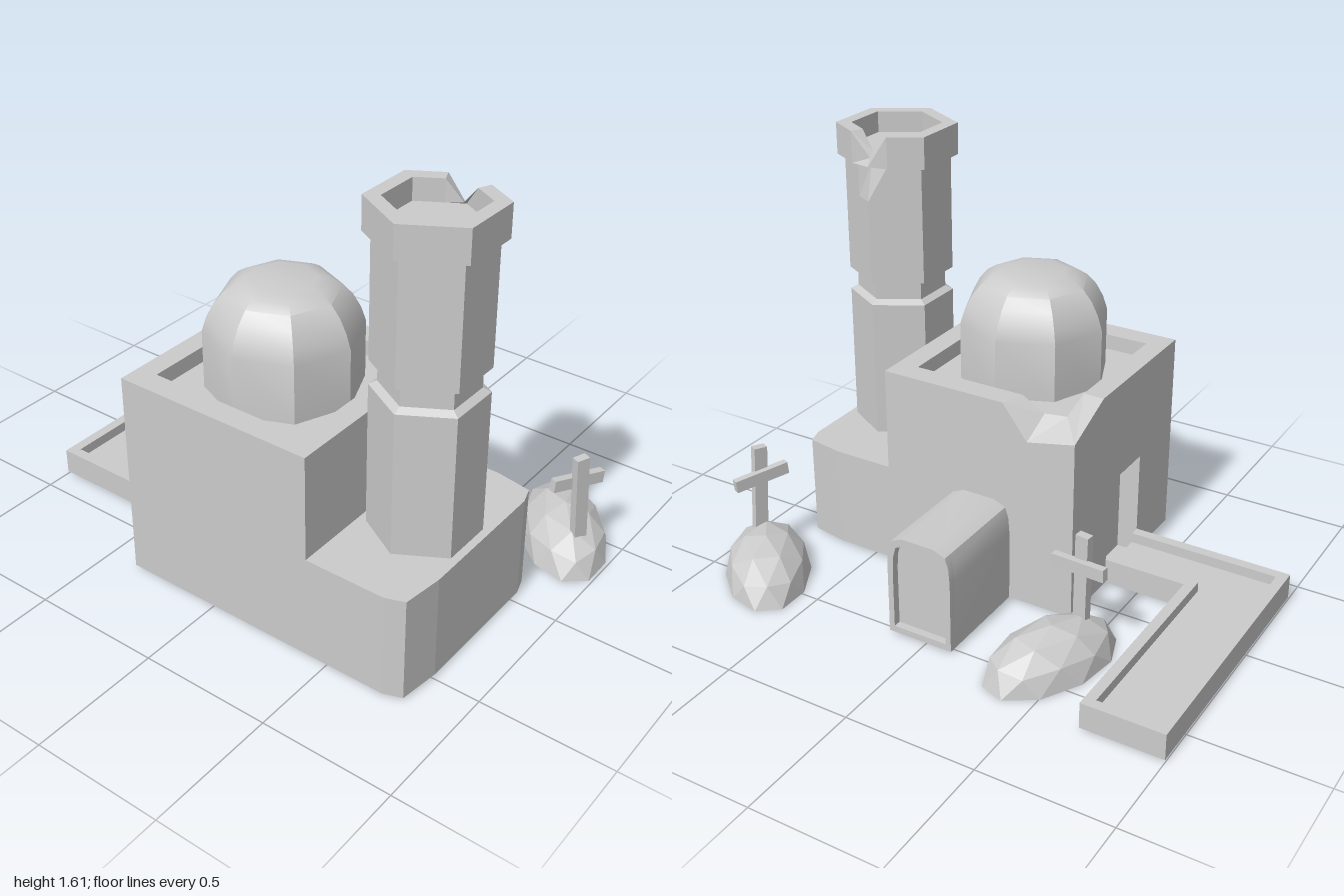
import * as THREE from 'three';
import { toCreasedNormals } from 'three/addons/utils/BufferGeometryUtils.js';

const stone = new THREE.MeshStandardMaterial({ color: 0xcccccc, flatShading: true });
const smoothStone = new THREE.MeshStandardMaterial({ color: 0xcccccc });
const thinStone = new THREE.MeshStandardMaterial({ color: 0xcccccc, flatShading: true, side: THREE.DoubleSide });

function part(name, geometry, material = stone) {
  const mesh = new THREE.Mesh(geometry, material);
  mesh.name = name;
  return mesh;
}

// Joins matching rings of [x, y, z] points; skip lists the wall segments of the first band to leave open
function loft(rings, { capStart = false, capEnd = false, skip = [] } = {}) {
  const out = [];
  const tri = (...pts) => pts.forEach((p) => out.push(...p));
  const n = rings[0].length;
  for (let r = 0; r + 1 < rings.length; r++) {
    for (let i = 0; i < n; i++) {
      if (r === 0 && skip.includes(i)) continue;
      const j = (i + 1) % n, a = rings[r], b = rings[r + 1];
      tri(a[i], a[j], b[j]);
      tri(a[i], b[j], b[i]);
    }
  }
  const cap = (ring, flip) => {
    const c = [0, 1, 2].map((k) => ring.reduce((s, p) => s + p[k], 0) / n);
    ring.forEach((p, i) => {
      const q = ring[(i + 1) % n];
      flip ? tri(c, q, p) : tri(c, p, q);
    });
  };
  if (capStart) cap(rings[0], true);
  if (capEnd) cap(rings[rings.length - 1], false);
  const g = new THREE.BufferGeometry();
  g.setAttribute('position', new THREE.Float32BufferAttribute(out, 3));
  g.computeVertexNormals();
  return g;
}

const toShape = (pts) => new THREE.Shape(pts.map(([x, y]) => new THREE.Vector2(x, y)));

// Raises a plan outline of [x, z] points from y0 to y1
function raise(plan, y0, y1) {
  const shape = toShape(plan.map(([x, z]) => [x, -z]));
  return new THREE.ExtrudeGeometry(shape, { depth: y1 - y0, bevelEnabled: false })
    .rotateX(-Math.PI / 2).translate(0, y0, 0);
}

// Main hall with a sunken roof, a broken back corner and a doorway
function createHall() {
  const g = new THREE.Group();
  g.name = 'hall';
  const outer = [[-0.37, -0.13], [-0.37, 0.08], [-0.37, 0.67], [0.42, 0.67], [0.42, -0.13], [-0.08, -0.13], [-0.18, -0.13]];
  const inner = [[-0.29, -0.04], [-0.29, 0.08], [-0.29, 0.58], [0.335, 0.58], [0.335, -0.04], [-0.11, -0.04], [-0.2, -0.04]];
  const outerY = [0.72, 0.81, 0.81, 0.81, 0.81, 0.81, 0.68];
  const innerY = [0.77, 0.81, 0.81, 0.81, 0.81, 0.81, 0.76];
  const at = (plan, y) => plan.map(([x, z], i) => [x, Array.isArray(y) ? y[i] : y, z]);
  g.add(part('walls', loft(
    [at(outer, 0.01), at(outer, outerY), at(inner, innerY), at(inner, 0.75)],
    { capStart: true, capEnd: true, skip: [0, 1] })));

  const wall = toShape([[-0.13, 0.01], [0.14, 0.01], [0.14, 0.43], [0.4, 0.43], [0.4, 0.01],
    [0.67, 0.01], [0.67, 0.81], [0.08, 0.81], [-0.13, 0.72]]);
  g.add(part('doorWall', new THREE.ShapeGeometry(wall).rotateY(-Math.PI / 2).translate(-0.37, 0, 0)));
  const frame = (x) => [[x, 0.01, 0.14], [x, 0.43, 0.14], [x, 0.43, 0.4], [x, 0.01, 0.4]];
  g.add(part('doorRecess', loft([frame(-0.37), frame(-0.29)], { capEnd: true }), thinStone));
  return g;
}

// Eight-sided dome, smooth up each rib and creased between panels
function createDome() {
  const profile = [[0.28, 0.75], [0.28, 0.97], [0.262, 1.025], [0.235, 1.075], [0.2, 1.115], [0.165, 1.138], [0.12, 1.15], [0, 1.15]];
  const geo = new THREE.LatheGeometry(profile.map(([r, y]) => new THREE.Vector2(r, y)), 8);
  return part('dome', toCreasedNormals(geo, 0.55).translate(0.022, 0, 0.27), smoothStone);
}

// Hexagon ring with extra points beside the back corner, which can be chipped
function hexRing(R, y, inset = 0, drop = 0) {
  const corner = (k, r = R) => [0.62 + r * Math.sin(k * Math.PI / 3), y, 0.279 + r * Math.cos(k * Math.PI / 3)];
  const mix = (a, b, t) => a.map((v, i) => v + (b[i] - v) * t);
  const back = corner(3, R - inset);
  back[1] -= drop;
  return [corner(0), corner(1), corner(2), mix(corner(3), corner(2), 0.4), back,
    mix(corner(3), corner(4), 0.4), corner(4), corner(5)];
}

// Hexagonal tower: shaft with a waist, then a hollow broken cap
function createTower() {
  const g = new THREE.Group();
  g.name = 'tower';
  g.add(part('shaft', loft([
    hexRing(0.197, 0.4), hexRing(0.197, 0.95), hexRing(0.168, 0.965), hexRing(0.168, 1.03),
    hexRing(0.197, 1.04), hexRing(0.197, 1.36), hexRing(0.197, 1.5, 0.03)])));
  g.add(part('cap', loft([
    hexRing(0.18, 1.49, 0.02), hexRing(0.225, 1.49, 0.035), hexRing(0.225, 1.61, 0.05, 0.09),
    hexRing(0.168, 1.61, 0.015, 0.07), hexRing(0.168, 1.53)], { capStart: true, capEnd: true })));
  return g;
}

// Arched porch with a recessed end panel
function createPorch() {
  const g = new THREE.Group();
  g.name = 'porch';
  const arch = (w, bottom, top) => {
    const half = [[w, bottom], [w, top - 0.12], [w * 0.96, top - 0.06], [w * 0.86, top - 0.02], [w * 0.5, top]];
    return [...half, ...half.map(([x, y]) => [-x, y]).reverse()];
  };
  const solid = toShape(arch(0.13, 0.01, 0.41));
  const rim = toShape(arch(0.13, 0.01, 0.41));
  rim.holes.push(new THREE.Path(arch(0.108, 0.035, 0.387).map(([x, y]) => new THREE.Vector2(x, y))));
  const body = new THREE.ExtrudeGeometry(solid, { depth: 0.37, bevelEnabled: false });
  const edge = new THREE.ExtrudeGeometry(rim, { depth: 0.03, bevelEnabled: false });
  g.add(part('porchBody', toCreasedNormals(body, 0.6).translate(0.02, 0, -0.5), smoothStone));
  g.add(part('porchRim', toCreasedNormals(edge, 0.6).translate(0.02, 0, -0.53), smoothStone));
  return g;
}

// Open low-poly half ellipsoid
function createMound(x, z, turn) {
  const ico = new THREE.IcosahedronGeometry(1, 1).rotateX(-Math.atan((1 + Math.sqrt(5)) / 2));
  const p = ico.attributes.position, kept = [];
  for (let i = 0; i < p.count; i += 3) {
    if (p.getY(i) + p.getY(i + 1) + p.getY(i + 2) < 0.01) continue;
    for (let k = i; k < i + 3; k++) kept.push(p.getX(k), p.getY(k), p.getZ(k));
  }
  const geo = new THREE.BufferGeometry();
  geo.setAttribute('position', new THREE.Float32BufferAttribute(kept, 3));
  geo.scale(0.163, 0.157, 0.283).rotateY(turn).translate(x, 0, z);
  geo.computeVertexNormals();
  return part('mound', geo, thinStone);
}

// Grave marker: a leaning post with a tilted crossbar
function createMarker(x, z, turn, lean, tilt) {
  const g = new THREE.Group();
  g.name = 'graveMarker';
  const post = part('post', new THREE.BoxGeometry(0.052, 0.38, 0.032));
  post.position.y = 0.27;
  post.rotation.z = lean;
  const bar = part('crossbar', new THREE.BoxGeometry(0.217, 0.048, 0.028));
  bar.position.set(0, 0.345, -0.024);
  bar.rotation.z = tilt;
  g.add(post, bar);
  g.position.set(x, 0, z);
  g.rotation.y = turn;
  return g;
}

export function createModel() {
  const model = new THREE.Group();
  model.name = 'ruinedChapel';
  model.add(createHall(), createDome(), createTower(), createPorch());

  // Lower wing with clipped outer corners
  model.add(part('wing', raise([[0.42, -0.13], [0.66, -0.13], [0.8, -0.105], [0.82, -0.04],
    [0.82, 0.49], [0.8, 0.645], [0.73, 0.67], [0.42, 0.67]], 0.01, 0.41)));

  // L-shaped path with a raised kerb
  model.add(part('pathKerb', raise([[-0.37, 0.14], [-0.69, 0.14], [-0.69, -0.66], [-1, -0.66], [-1, 0.4], [-0.37, 0.4],
    [-0.37, 0.36], [-0.96, 0.36], [-0.96, -0.62], [-0.73, -0.62], [-0.73, 0.18], [-0.37, 0.18]], 0.01, 0.11)));
  model.add(part('pathFloor', raise([[-0.96, -0.62], [-0.96, 0.36], [-0.37, 0.36], [-0.37, 0.18],
    [-0.73, 0.18], [-0.73, -0.62]], 0.01, 0.07)));

  // Two graves
  model.add(createMound(-0.433, -0.39, -0.33), createMarker(-0.477, -0.25, -0.12, 0.01, -0.06));
  model.add(createMound(0.78, -0.44, 0.68), createMarker(0.885, -0.335, 1.13, 0.06, -0.1));
  return model;
}
